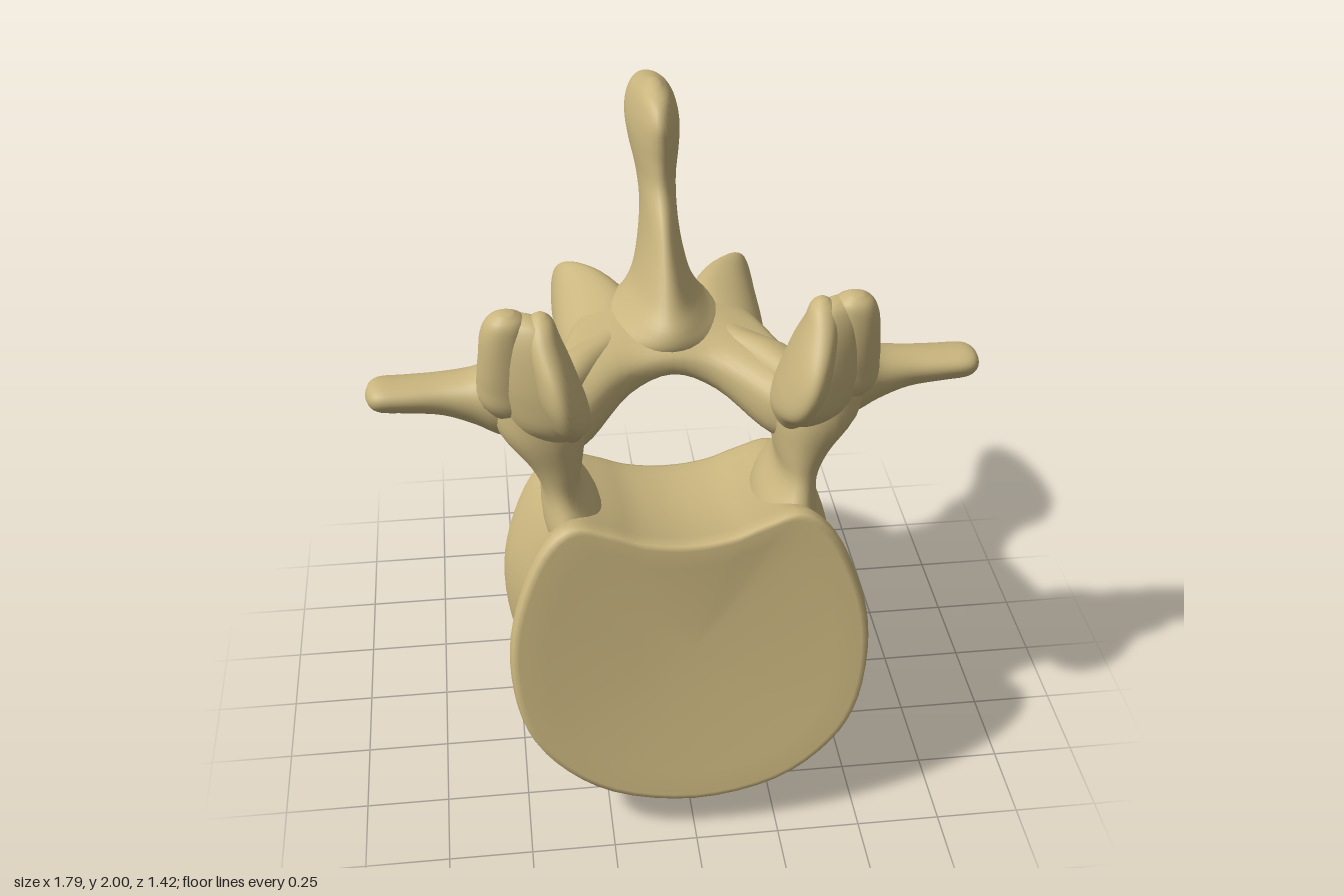
import * as THREE from 'three';

const V3 = (x, y, z) => new THREE.Vector3(x, y, z);
const X = V3(1, 0, 0), Y = V3(0, 1, 0), Z = V3(0, 0, 1);

// Skin a stack of closed rings, closing both ends, facing outward.
function skin(rings) {
  const n = rings[0].length, m = rings.length, pos = [], idx = [];
  rings.forEach(r => r.forEach(p => pos.push(p.x, p.y, p.z)));
  for (const r of [rings[0], rings[m - 1]]) {
    const c = V3(0, 0, 0);
    r.forEach(p => c.addScaledVector(p, 1 / n));
    pos.push(c.x, c.y, c.z);
  }
  for (let j = 0; j < n; j++) {
    const k = (j + 1) % n, e = (m - 1) * n;
    for (let i = 0; i < m - 1; i++) {
      const a = i * n + j, b = i * n + k;
      idx.push(a, b, b + n, a, b + n, a + n);
    }
    idx.push(m * n, k, j, m * n + 1, e + j, e + k);
  }
  // A negative volume means the winding is inside out.
  const at = i => V3(pos[3 * i], pos[3 * i + 1], pos[3 * i + 2]);
  let volume = 0;
  for (let i = 0; i < idx.length; i += 3) {
    volume += at(idx[i]).dot(at(idx[i + 1]).cross(at(idx[i + 2])));
  }
  if (volume < 0) idx.reverse();
  const g = new THREE.BufferGeometry();
  g.setAttribute('position', new THREE.Float32BufferAttribute(pos, 3));
  g.setIndex(idx);
  g.computeVertexNormals();
  return g;
}

// Smooth loft of ovals; each section is [x, y, z, radius along u, radius along v].
// A power below 1 makes the ovals squarer.
function loft(u, v, sections, power = 1, side = 1) {
  const centres = new THREE.CatmullRomCurve3(sections.map(s => V3(s[0], s[1], s[2])), false, 'catmullrom');
  const radii = new THREE.CatmullRomCurve3(sections.map(s => V3(s[3], s[4], 0)), false, 'catmullrom');
  const bend = w => Math.sign(w) * Math.abs(w) ** power;
  const steps = (sections.length - 1) * 4, rings = [];
  for (let i = 0; i <= steps; i++) {
    const c = centres.getPoint(i / steps), r = radii.getPoint(i / steps), ring = [];
    for (let j = 0; j < 40; j++) {
      const a = j / 40 * Math.PI * 2;
      const p = c.clone()
        .addScaledVector(u, bend(Math.cos(a)) * Math.max(r.x, 0.004))
        .addScaledVector(v, bend(Math.sin(a)) * Math.max(r.y, 0.004));
      p.x *= side;
      ring.push(p);
    }
    rings.push(ring);
  }
  return skin(rings);
}

// Heart-shaped drum with a narrow waist and dished, sloping end plates.
function bodyGeometry() {
  const half = [[0.13, 0.965], [0.23, 1.0], [0.34, 1.025], [0.43, 0.95], [0.505, 0.78], [0.532, 0.61],
    [0.505, 0.42], [0.42, 0.28], [0.25, 0.165]];
  const pts = [[0, 0.95], ...half, [0, 0.12], ...half.slice().reverse().map(([x, y]) => [-x, y])];
  const outline = new THREE.CatmullRomCurve3(pts.map(p => V3(p[0], p[1], 0)), true, 'catmullrom');
  const edge = outline.getPoints(80).slice(0, 80);
  // [position from front to back, scale]
  const profile = [[0.035, 0.3], [0.015, 0.8], [0, 0.95], [0.012, 0.985], [0.05, 1], [0.12, 0.985],
    [0.22, 0.955], [0.35, 0.93], [0.5, 0.915], [0.65, 0.925], [0.78, 0.95], [0.88, 0.98], [0.95, 1],
    [0.988, 0.985], [1, 0.95], [0.985, 0.8], [0.965, 0.3]];
  return skin(profile.map(([t, s]) => edge.map(p => {
    const yFront = 0.58 + (p.y - 0.58) * s;
    const yBack = (yFront - 0.125) * 0.985;
    const bulge = 0.16 * yBack * (0.9 - yBack);
    const zFront = 0.74 - 0.22 * yFront, zBack = 0.12 - 0.25 * yBack - bulge;
    return V3(p.x * s, yFront + (yBack - yFront) * t, zFront + (zBack - zFront) * t);
  })));
}

export function createModel() {
  const group = new THREE.Group();
  const bone = new THREE.MeshStandardMaterial({ color: 0xc9b57e });
  bone.name = 'bone';
  const add = (name, geometry) => {
    const mesh = new THREE.Mesh(geometry, bone);
    mesh.name = name;
    group.add(mesh);
  };

  add('vertebralBody', bodyGeometry());

  // Roof of the canal, sweeping forward and down at both sides
  const roof = [[0.33, 1.215, 0.16, 0.18, 0.12], [0.25, 1.23, 0.02, 0.265, 0.12],
    [0.13, 1.275, -0.095, 0.25, 0.095]];
  add('lamina', loft(Z, Y, [...roof, [0, 1.305, -0.12, 0.245, 0.075],
    ...roof.slice().reverse().map(([x, ...r]) => [-x, ...r])], 0.8));

  // Upright fin at the back
  add('spinousProcess', loft(X, Z, [
    [0, 1.26, -0.15, 0.12, 0.19], [0, 1.33, -0.13, 0.185, 0.232], [0, 1.39, -0.135, 0.13, 0.235],
    [0, 1.45, -0.17, 0.09, 0.22], [0, 1.55, -0.225, 0.064, 0.205], [0, 1.65, -0.285, 0.054, 0.195],
    [0, 1.73, -0.365, 0.06, 0.205], [0, 1.8, -0.43, 0.075, 0.25], [0, 1.86, -0.448, 0.08, 0.263],
    [0, 1.92, -0.42, 0.068, 0.225], [0, 1.97, -0.36, 0.045, 0.12], [0, 1.998, -0.36, 0.015, 0.03]]));

  for (const [label, side] of [['left', 1], ['right', -1]]) {
    const pair = (name, u, v, sections, power) => add(label + name, loft(u, v, sections, power, side));

    // Stalk joining the body to the arch
    pair('Pedicle', X, Z, [
      [0.29, 0.78, 0.25, 0.08, 0.23], [0.32, 0.92, 0.25, 0.087, 0.215], [0.35, 1.03, 0.235, 0.06, 0.168],
      [0.365, 1.12, 0.23, 0.085, 0.165], [0.4, 1.23, 0.23, 0.13, 0.17],
      [0.42, 1.33, 0.23, 0.12, 0.155], [0.43, 1.42, 0.26, 0.1, 0.11], [0.43, 1.48, 0.28, 0.05, 0.06]], 0.9);

    // Core of the upper joint, filling between knob and facet
    pair('UpperJointCore', V3(1, 0, -0.4), Z, [
      [0.39, 1.18, 0.24, 0.06, 0.07], [0.395, 1.28, 0.29, 0.11, 0.13], [0.41, 1.38, 0.305, 0.12, 0.13],
      [0.425, 1.47, 0.315, 0.11, 0.11], [0.435, 1.55, 0.325, 0.09, 0.08],
      [0.435, 1.6, 0.33, 0.06, 0.05], [0.435, 1.618, 0.33, 0.02, 0.02]], 0.85);

    // Rounded outer knob of the upper joint
    pair('UpperJointKnob', X, Z, [
      [0.44, 1.22, 0.22, 0.05, 0.06], [0.46, 1.32, 0.25, 0.11, 0.12], [0.475, 1.4, 0.27, 0.1, 0.115],
      [0.485, 1.48, 0.295, 0.082, 0.095], [0.488, 1.56, 0.31, 0.07, 0.078],
      [0.485, 1.61, 0.325, 0.053, 0.053], [0.485, 1.635, 0.33, 0.02, 0.02]], 0.9);

    // Inner plate of the upper joint, leaning outward
    pair('UpperJointFacet', V3(-0.05, 0, 1), X, [
      [0.34, 1.14, 0.24, 0.05, 0.03], [0.325, 1.25, 0.27, 0.13, 0.06], [0.33, 1.32, 0.325, 0.165, 0.065],
      [0.35, 1.4, 0.35, 0.17, 0.065], [0.368, 1.48, 0.355, 0.145, 0.058], [0.387, 1.56, 0.35, 0.085, 0.048],
      [0.39, 1.605, 0.34, 0.05, 0.035], [0.39, 1.627, 0.335, 0.015, 0.012]]);

    // Side arm
    pair('TransverseProcess', Y, V3(0, 0.22, 1), [
      [0.36, 1.26, 0.19, 0.12, 0.14], [0.5, 1.285, 0.2, 0.125, 0.13], [0.59, 1.29, 0.19, 0.088, 0.108],
      [0.68, 1.3, 0.185, 0.064, 0.095], [0.78, 1.305, 0.185, 0.054, 0.095],
      [0.85, 1.308, 0.185, 0.05, 0.092], [0.88, 1.31, 0.185, 0.036, 0.07], [0.893, 1.31, 0.185, 0.012, 0.03]]);

    // Side of the arch, running back into the pointed lower joint
    pair('LowerJointProcess', V3(1, -0.3, 0), Y, [
      [0.37, 1.25, 0.28, 0.07, 0.1], [0.31, 1.25, 0.12, 0.11, 0.11], [0.22, 1.255, 0, 0.11, 0.1],
      [0.2, 1.25, -0.12, 0.12, 0.105], [0.203, 1.25, -0.25, 0.122, 0.115],
      [0.232, 1.24, -0.38, 0.095, 0.13], [0.272, 1.225, -0.46, 0.055, 0.135],
      [0.3, 1.21, -0.53, 0.024, 0.1], [0.305, 1.2, -0.558, 0.01, 0.045]], 0.9);
  }
  return group;
}
